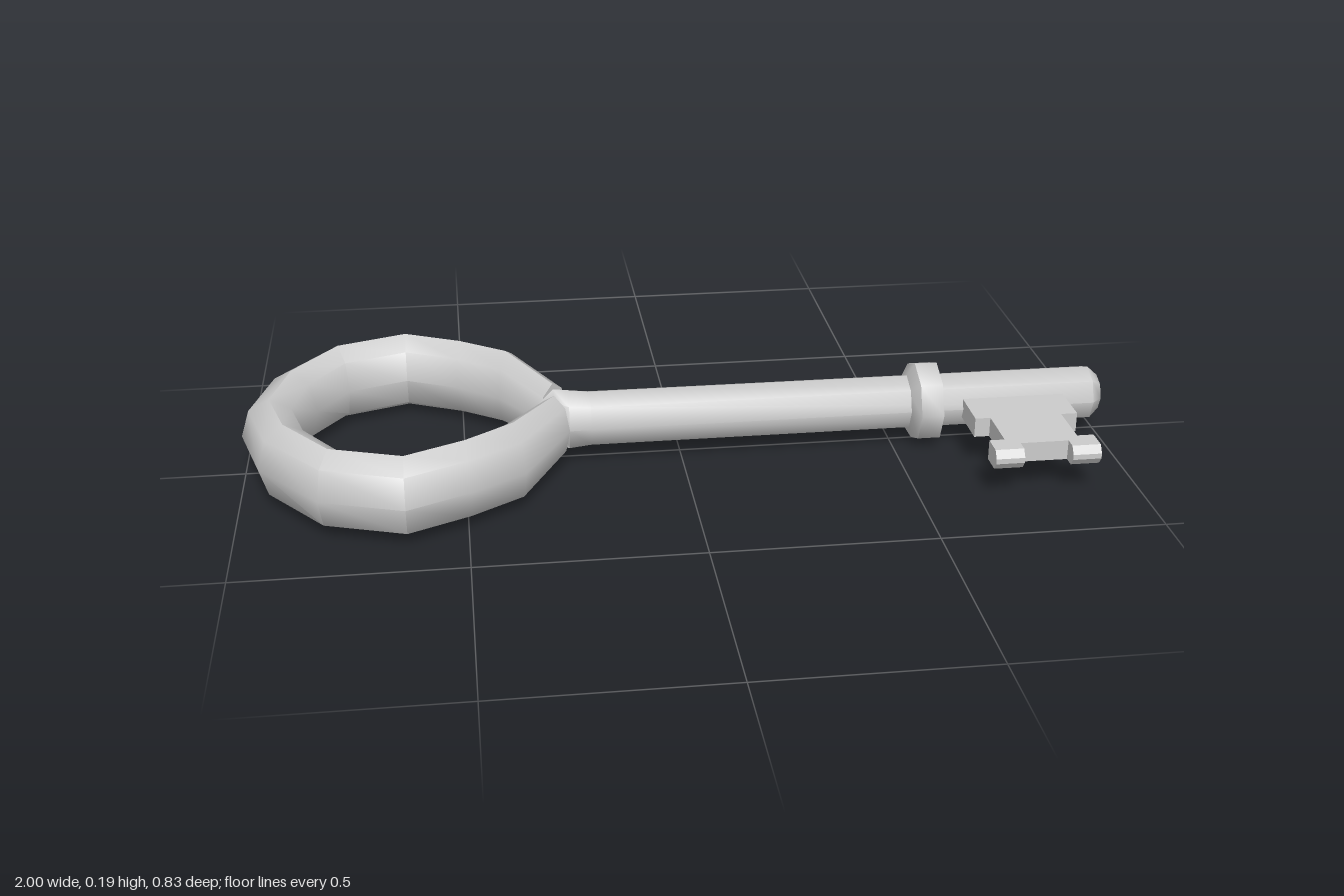
import * as THREE from 'three';
import { toCreasedNormals } from 'three/addons/utils/BufferGeometryUtils.js';

const SIDES = 8;
const MID = 0.094; // height of the key's centre plane
const material = new THREE.MeshStandardMaterial({ color: 0xcccccc });

// Lofts elliptical octagons; a station is [innerX, innerZ, outerX, outerZ, halfHeight]
function loft(stations) {
  const pos = [], index = [];
  for (const [ix, iz, ox, oz, h] of stations) {
    for (let j = 0; j < SIDES; j++) {
      const a = (j / SIDES) * Math.PI * 2, t = (1 + Math.cos(a)) / 2;
      pos.push(ix + (ox - ix) * t, MID + h * Math.sin(a), iz + (oz - iz) * t);
    }
  }
  const last = (stations.length - 1) * SIDES;
  for (let i = 0; i < last; i += SIDES) {
    for (let j = 0; j < SIDES; j++) {
      const k = (j + 1) % SIDES;
      index.push(i + j, i + SIDES + j, i + k, i + k, i + SIDES + j, i + SIDES + k);
    }
  }
  // end caps
  for (let j = 1; j < SIDES - 1; j++) {
    index.push(0, j, j + 1, last, last + j + 1, last + j);
  }
  const g = new THREE.BufferGeometry();
  g.setAttribute('position', new THREE.Float32BufferAttribute(pos, 3));
  g.setIndex(index);
  return toCreasedNormals(g, 0.9);
}

// Station square to the x axis
const across = (x, w, h = w) => [x, -w, x, w, h];

function extrude(points, depth) {
  const shape = new THREE.Shape(points.map(([x, y]) => new THREE.Vector2(x, y)));
  return new THREE.ExtrudeGeometry(shape, { depth, bevelEnabled: false });
}

export function createModel() {
  const key = new THREE.Group();
  key.name = 'key';
  const add = (name, geometry) => {
    const mesh = new THREE.Mesh(geometry, material);
    mesh.name = name;
    key.add(mesh);
    return mesh;
  };

  // Bow: faceted ring, mirrored about the shaft
  const half = [
    [-0.865, 0, -1, 0, 0.088],
    [-0.835, 0.115, -0.95, 0.18, 0.092],
    [-0.765, 0.22, -0.815, 0.35, 0.093],
    [-0.63, 0.267, -0.63, 0.413, 0.093],
    [-0.51, 0.21, -0.49, 0.347, 0.093],
    [-0.415, 0.135, -0.37, 0.27, 0.093],
    [-0.325, 0, -0.26, 0.068, 0.076],
  ];
  const mirrored = half.slice(1).reverse().map(([a, b, c, d, h]) => [a, -b, c, -d, h]);
  add('bow', loft([...mirrored, ...half]));

  // Shaft with a wedge-shaped root and a rounded tip
  add('shaft', loft([
    across(-0.33, 0.003, 0.04),
    across(-0.293, 0.034, 0.077),
    across(-0.26, 0.068, 0.073),
    across(-0.21, 0.066),
    across(0.975, 0.065),
    across(1, 0.042),
  ]));

  // Collar
  add('collar', loft([
    across(0.535, 0.062), across(0.555, 0.095), across(0.607, 0.095),
  ]));

  // Bit: stepped flat plate
  const thickness = 0.046;
  const plate = extrude([
    [0.66, 0.02], [0.9, 0.02], [0.9, 0.165], [0.862, 0.165], [0.862, 0.28], [0.9, 0.28],
    [0.9, 0.303], [0.66, 0.303], [0.66, 0.28], [0.695, 0.28], [0.695, 0.165], [0.66, 0.165],
  ], thickness);
  plate.rotateX(Math.PI / 2).translate(0, MID + thickness / 2, 0);
  add('bitPlate', plate);

  // Two bevelled teeth on the end of the bit
  const t = thickness / 2;
  for (const [name, x] of [['rightTooth', 0.66], ['leftTooth', 0.835]]) {
    const tooth = extrude([
      [0.303, -t], [0.33, -t], [0.343, -0.006], [0.343, 0.006], [0.33, t], [0.303, t],
    ], 0.065);
    tooth.rotateY(-Math.PI / 2).translate(x + 0.065, MID, 0);
    add(name, tooth);
  }
  return key;
}
